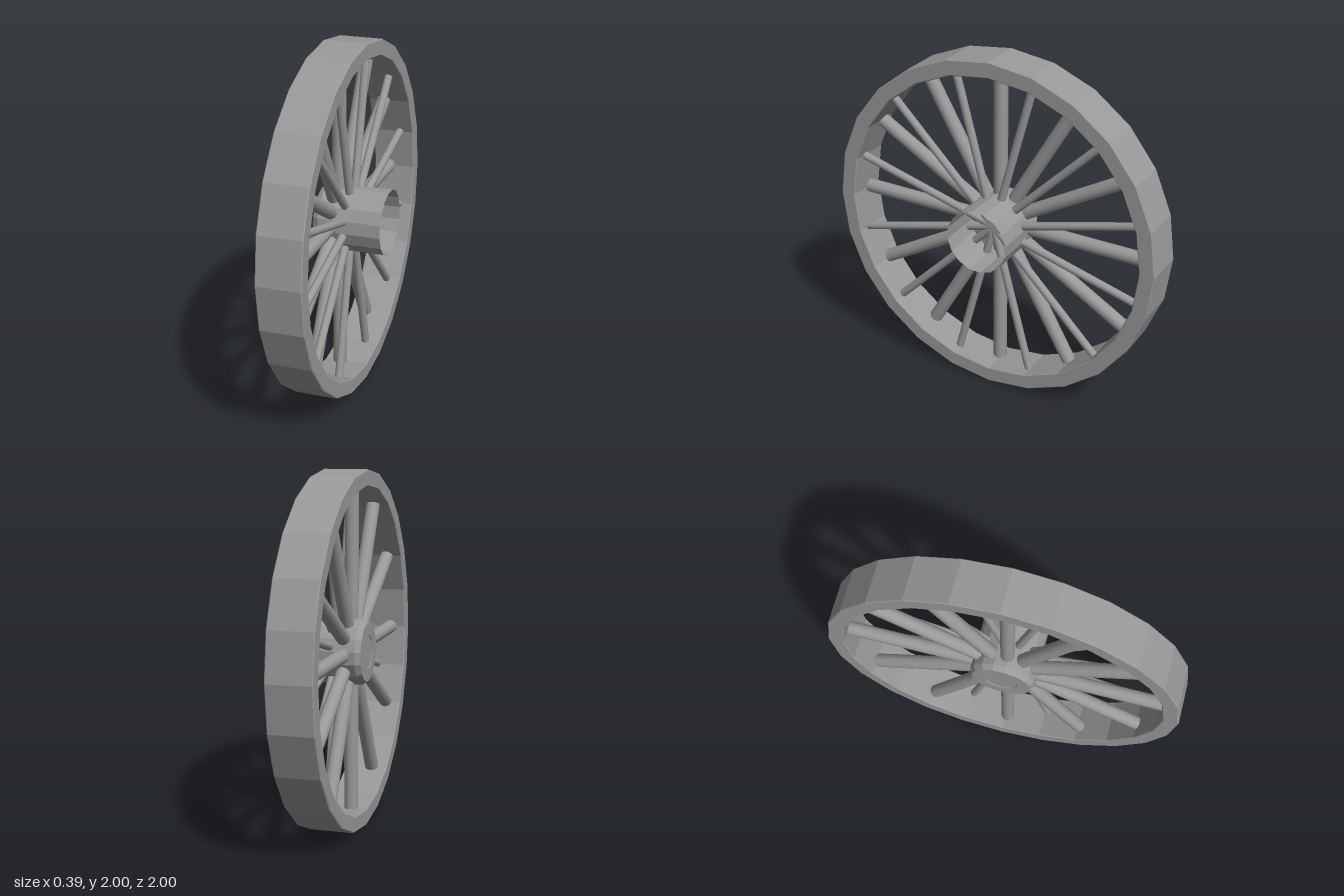
import * as THREE from 'three';

export function createModel() {
  const model = new THREE.Group();
  const color = 0x999999;
  const flat = new THREE.MeshStandardMaterial({ color, flatShading: true });
  const flatOpen = new THREE.MeshStandardMaterial({ color, flatShading: true, side: THREE.DoubleSide });
  const smooth = new THREE.MeshStandardMaterial({ color });

  // Turn a [radius, x] profile around the axle, which runs along x
  function turned(name, profile, sides, material, spin = 0) {
    const points = profile.map(([r, x]) => new THREE.Vector2(r, x));
    const geometry = new THREE.LatheGeometry(points, sides, spin);
    geometry.rotateZ(-Math.PI / 2);
    const mesh = new THREE.Mesh(geometry, material);
    mesh.name = name;
    mesh.position.y = 1;
    model.add(mesh);
  }

  // Rim: 24-sided band with slightly eased edges
  const b = 0.005, x0 = -0.188, x1 = 0.062, outer = 1, inner = 0.91;
  turned('rim', [
    [outer, x0 + b], [outer, x1 - b], [outer - b, x1], [inner + b, x1],
    [inner, x1 - b], [inner, x0 + b], [inner + b, x0], [outer - b, x0], [outer, x0 + b],
  ], 24, flat);

  // Hub: chamfered cap with a shallow round recess, open at the other end
  turned('hub', [
    [0, -0.191], [0.09, -0.191], [0.093, -0.195], [0.168, -0.195],
    [0.185, -0.165], [0.185, 0.195],
  ], 16, flatOpen, Math.PI / 24);

  // Twelve thick spokes alternating with twelve thin ones, in two planes
  function spokes(name, radius, x, offset) {
    const group = new THREE.Group();
    group.name = name + 's';
    const length = 0.915;
    const geometry = new THREE.CylinderGeometry(radius, radius, length, 12);
    geometry.translate(0, length / 2, 0);
    for (let i = 0; i < 12; i++) {
      const spoke = new THREE.Mesh(geometry, smooth);
      spoke.name = name;
      spoke.rotation.x = offset + (i * Math.PI) / 6;
      group.add(spoke);
    }
    group.position.set(x, 1, 0.012);
    model.add(group);
  }
  spokes('thickSpoke', 0.04, -0.095, 0);
  spokes('thinSpoke', 0.023, -0.02, Math.PI / 12);

  return model;
}
